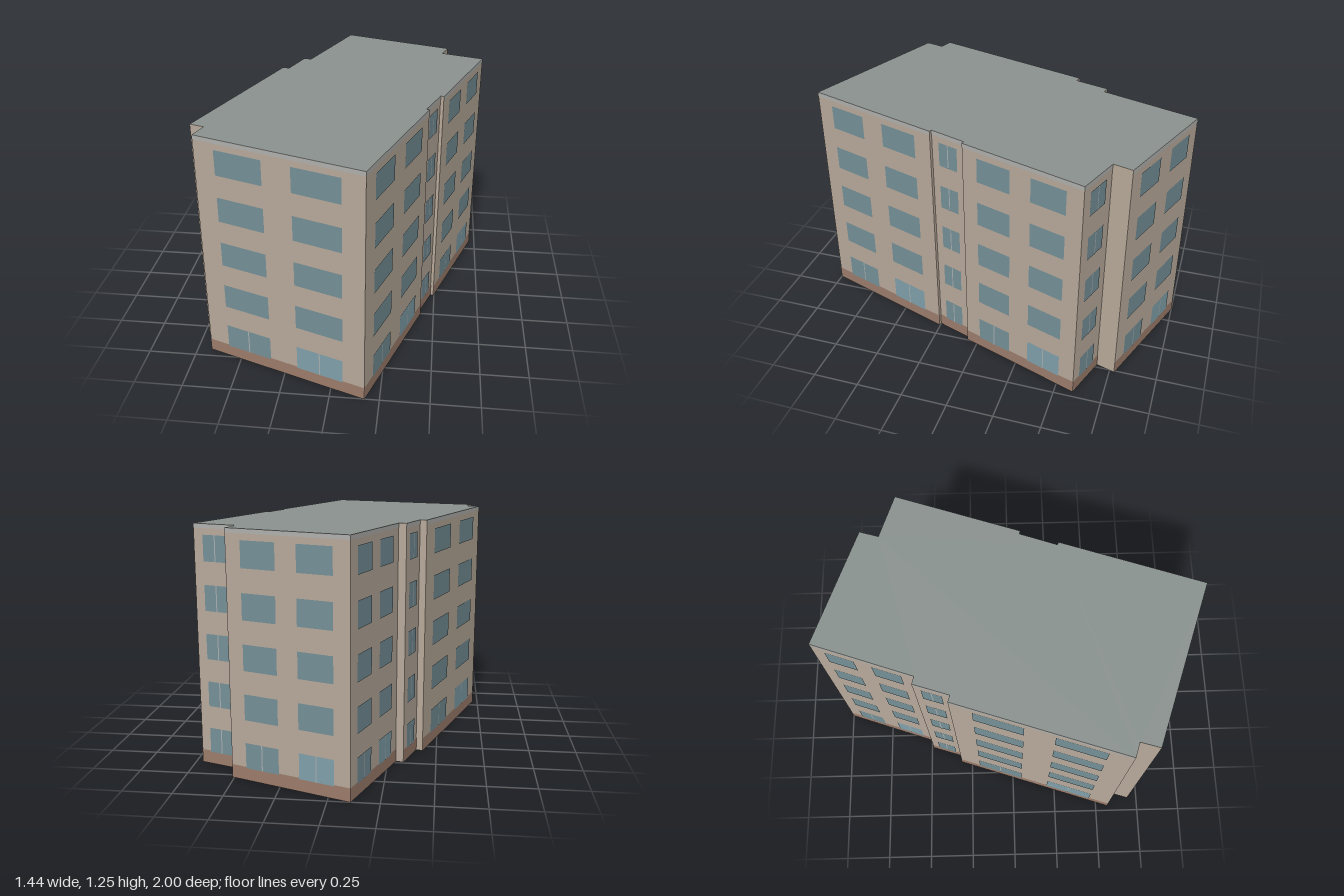
import * as THREE from 'three';

const HEIGHT = 1.25, FLOORS = 5, PITCH = 0.25;

const material = (color, side = THREE.FrontSide) =>
  new THREE.MeshStandardMaterial({ color, side });

// Footprint corners [x, z, windows on the wall that starts here]
const FOOTPRINT = [
  [-0.11, -1.0, 2], [0.51, -0.775, 0], [0.48, -0.675, 1], [0.715, -0.595, 2],
  [0.495, 0.06, 0], [0.478, 0.055, 1], [0.41, 0.25, 0], [0.425, 0.255, 2],
  [0.175, 1.0, 2], [-0.675, 0.695, 0], [-0.645, 0.595, 0], [-0.72, 0.57, 2],
  [-0.425, -0.315, 0], [-0.39, -0.305, 1], [-0.33, -0.49, 0], [-0.29, -0.48, 2],
];

export function createModel() {
  const model = new THREE.Group();
  model.name = 'apartmentBlock';

  const mats = {
    wall: material(0xb8aa9b, THREE.DoubleSide),
    plinth: material(0x9c7d6c),
    cornice: material(0xb0b0ae),
    glass: material(0x759098),
    litGlass: material(0x80a0aa),
    mullion: material(0xa9b0b0),
    roof: material(0x8a928f, THREE.DoubleSide),
  };

  // Upright rectangle in a wall's own frame: x along the wall, z outward
  const panel = (parent, name, mat, w, h, x, y, z) => {
    const mesh = new THREE.Mesh(new THREE.PlaneGeometry(w, h), mat);
    mesh.name = name;
    mesh.position.set(x, y, z);
    parent.add(mesh);
  };

  FOOTPRINT.forEach(([x0, z0, windows], i) => {
    const [x1, z1] = FOOTPRINT[(i + 1) % FOOTPRINT.length];
    const length = Math.hypot(x1 - x0, z1 - z0);
    const wall = new THREE.Group();
    wall.name = windows ? 'facade' : 'returnWall';
    wall.position.set((x0 + x1) / 2, 0, (z0 + z1) / 2);
    wall.rotation.y = Math.atan2(z1 - z0, x0 - x1);
    model.add(wall);

    panel(wall, 'wall', mats.wall, length, HEIGHT, 0, HEIGHT / 2, 0);
    if (!windows) return;

    // Base band and roof-edge band
    panel(wall, 'plinth', mats.plinth, length, 0.07, 0, 0.035, 0.0015);
    panel(wall, 'cornice', mats.cornice, length, 0.022, 0, HEIGHT - 0.011, 0.0015);

    // Window grid; single columns and the ground floor have a centre mullion
    const centres = windows === 2 ? [-0.228, 0.228] : [0];
    const width = length * (windows === 2 ? 0.285 : 0.56);
    for (let floor = 0; floor < FLOORS; floor++) {
      const y = 0.13 + floor * PITCH;
      centres.forEach((c, k) => {
        const glass = floor === 0 && k === 1 ? mats.litGlass : mats.glass;
        panel(wall, 'window', glass, width, 0.132, c * length, y, 0.003);
        if (floor === 0 || windows === 1) {
          panel(wall, 'mullion', mats.mullion, 0.006, 0.132, c * length, y, 0.0045);
        }
      });
    }
  });

  // Flat roof over the footprint; the underside stays open
  const outline = new THREE.Shape(FOOTPRINT.map(([x, z]) => new THREE.Vector2(x, -z)));
  const roof = new THREE.Mesh(new THREE.ShapeGeometry(outline).rotateX(-Math.PI / 2), mats.roof);
  roof.name = 'roof';
  roof.position.y = HEIGHT;
  model.add(roof);

  return model;
}
